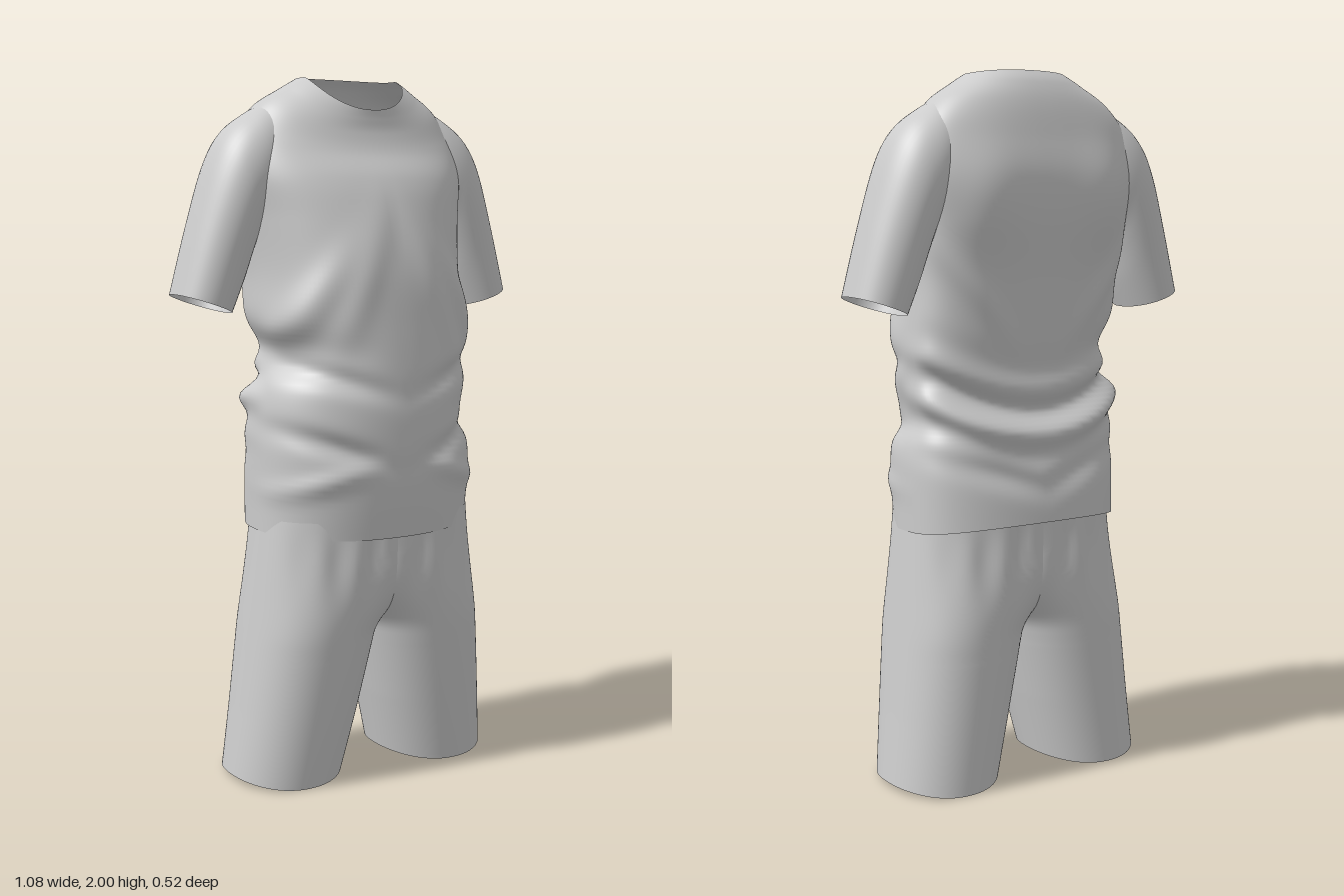
import * as THREE from 'three';

const { smoothstep } = THREE.MathUtils;
const spow = (v, e) => Math.sign(v) * Math.pow(Math.abs(v), e);
const bump = (v, width) => Math.exp(-((v / width) ** 2));

// Catmull-Rom sampling of a short table of section sizes, t in 0..1
function sample(rows, t) {
  const n = rows.length - 1, f = Math.min(t * n, n - 1e-6), i = Math.floor(f), u = f - i;
  const at = (k) => rows[Math.max(0, Math.min(n, k))];
  return rows[0].map((_, c) => {
    const a = at(i - 1)[c], b = at(i)[c], d = at(i + 1)[c], e = at(i + 2)[c];
    return b + 0.5 * u * (d - a + u * (2 * a - 5 * b + 4 * d - e + u * (3 * (b - d) + e - a)));
  });
}

// Skin between cross-sections; point(t, s) gives [x, y, z]
function loft(point, rings, segs, closed, flip) {
  const pos = [], idx = [], cols = closed ? segs : segs + 1;
  for (let i = 0; i <= rings; i++)
    for (let j = 0; j < cols; j++) pos.push(...point(i / rings, j / segs));
  for (let i = 0; i < rings; i++)
    for (let j = 0; j < segs; j++) {
      const a = i * cols + j, b = i * cols + (j + 1) % cols, c = a + cols, d = b + cols;
      if (flip) idx.push(a, c, b, b, c, d);
      else idx.push(a, b, c, b, d, c);
    }
  const g = new THREE.BufferGeometry();
  g.setAttribute('position', new THREE.Float32BufferAttribute(pos, 3));
  g.setIndex(idx);
  g.computeVertexNormals();
  return g;
}

// Shirt body, hem to neckline: half width, height at the side, front z, back z
const BODY = [
  [0.33, 0.73, 0.235, -0.228],
  [0.332, 0.88, 0.256, -0.22],
  [0.333, 1.02, 0.262, -0.205],
  [0.325, 1.15, 0.258, -0.19],
  [0.322, 1.3, 0.248, -0.205],
  [0.318, 1.45, 0.233, -0.222],
  [0.335, 1.6, 0.2, -0.245],
  [0.355, 1.72, 0.16, -0.248],
  [0.34, 1.825, 0.115, -0.228],
  [0.28, 1.912, 0.092, -0.207],
  [0.2, 1.963, 0.086, -0.182],
  [0.15, 1.992, 0.085, -0.155],
];

// Mirrored cloth folds: facing (1 front, -1 back), x, y, tilt, length, height
const FOLDS = [
  [1, 0.25, 1.35, -1.0, 0.19, 0.02],
  [1, 0.11, 1.43, -1.2, 0.2, 0.012],
  [1, 0.2, 1.17, 0.3, 0.14, -0.02],
  [1, 0.2, 0.98, 0.35, 0.14, -0.02],
  [1, 0.22, 0.88, -0.3, 0.13, 0.014],
  [-1, 0.15, 0.9, 0.32, 0.16, -0.018],
  [-1, 0.22, 1.42, 0.9, 0.16, 0.012],
];

function foldHeight(x, y, facing) {
  const ax = Math.abs(x), back = smoothstep(-facing, -0.2, 0.35);
  let h = 0;
  for (const [side, fx, fy, tilt, length, height] of FOLDS) {
    const dx = ax - fx, dy = y - fy, c = Math.cos(tilt), s = Math.sin(tilt);
    h += height * bump(dx * c + dy * s, length) * bump(dy * c - dx * s, length * 0.22)
      * smoothstep(side * facing, -0.2, 0.35);
  }
  // sagging creases across the small of the back, and the shoulder blades
  const sag = y - 1.0 - x * x;
  h += back * 0.024 * Math.cos(sag * 45) * bump(sag - 0.04, 0.1);
  return h + back * 0.018 * bump(ax - 0.19, 0.09) * bump(y - 1.66, 0.14);
}

function bodyPoint(t, s) {
  const [w, ys, zf, zb] = sample(BODY, t);
  const a = s * Math.PI * 2, sn = Math.sin(a), cs = Math.cos(a), front = cs > 0;
  // the waist is pinched at a different height on each side
  const pinch = sn > 0 ? 0.032 * bump(ys - 1.05, 0.07) : 0.05 * bump(ys - 1.23, 0.07);
  const x = (w - pinch) * spow(sn, 0.9);
  // neckline dips at the front, hem rises at the back
  const hem = 1 - smoothstep(ys, 0.73, 0.95);
  const shift = front ? -0.015 * hem - 0.092 * smoothstep(ys, 1.65, 2) : 0.025 * hem + 0.008 * smoothstep(ys, 1.9, 2);
  const y = ys + shift * Math.pow(Math.abs(cs), 1.3);
  const zs = 0.04 * smoothstep(ys, 1.85, 2) - 0.08 * smoothstep(ys, 0.9, 1.7);
  const z = zs + ((front ? zf : zb) - zs) * Math.pow(Math.abs(cs), front ? 0.85 : 0.65);
  const h = foldHeight(x, y, cs);
  return [x + h * sn, y, z + h * cs];
}

// Sleeve, shoulder to cuff: outer x, outer y, inner x, inner y, half depth
const SLEEVE = [
  [0.22, 1.94, 0.22, 1.64, 0.095],
  [0.31, 1.893, 0.27, 1.6, 0.122],
  [0.38, 1.84, 0.3, 1.555, 0.128],
  [0.43, 1.755, 0.32, 1.5, 0.125],
  [0.485, 1.59, 0.345, 1.425, 0.115],
  [0.54, 1.395, 0.38, 1.34, 0.106],
];

function sleevePoint(side) {
  return (t, s) => {
    const [ox, oy, ix, iy, hz] = sample(SLEEVE, t);
    const a = s * Math.PI * 2, m = 0.5 + 0.5 * Math.cos(a);
    return [side * (ix + (ox - ix) * m), iy + (oy - iy) * m, -0.075 + hz * spow(Math.sin(a), 0.9)];
  };
}

// Half of the shorts: each leg tapers upward and its centre slides to the middle at the waist
function legPoint(side) {
  return (t, s) => {
    const y = 0.77 * t, e = 0.92 - 0.22 * y;
    const cx = (0.245 - 0.16 * y) * (1 - smoothstep(y, 0.42, 0.76));
    const rx = 0.412 - 0.115 * y - cx;
    const zf = 0.225 - 0.07 * Math.pow(1 - t, 1.6), zb = -0.208;
    // the section stops at the middle seam above the crotch and closes below it
    const end = Math.acos(-Math.pow(Math.min(1, cx / rx), 1 / e));
    const a = (1 - 2 * s) * end, c = Math.cos(a), sn = Math.sin(a);
    const x = Math.max(0, cx + rx * spow(c, e));
    // soft gathers below the waist
    const gather = 0.005 * Math.sin(x * 60) * bump(y - 0.66, 0.09) * sn;
    const hemRise = 0.018 * c * c * Math.max(0, 1 - y / 0.2);
    return [side * x, y + hemRise, (zf + zb) / 2 + (zf - zb) / 2 * spow(sn, e) + gather];
  };
}

export function createModel() {
  const model = new THREE.Group();
  const cloth = new THREE.MeshStandardMaterial({ color: 0xcccccc, side: THREE.DoubleSide });
  cloth.name = 'light grey cloth';
  const add = (parent, name, geometry) => {
    const mesh = new THREE.Mesh(geometry, cloth);
    mesh.name = name;
    parent.add(mesh);
  };

  const shirt = new THREE.Group();
  shirt.name = 'shirt';
  add(shirt, 'shirtBody', loft(bodyPoint, 110, 144, true, false));
  const shorts = new THREE.Group();
  shorts.name = 'shorts';
  for (const [side, label] of [[1, 'left'], [-1, 'right']]) {
    add(shirt, label + 'Sleeve', loft(sleevePoint(side), 36, 48, true, side < 0));
    add(shorts, label + 'Leg', loft(legPoint(side), 60, 80, false, side > 0));
  }
  model.add(shirt, shorts);
  return model;
}
